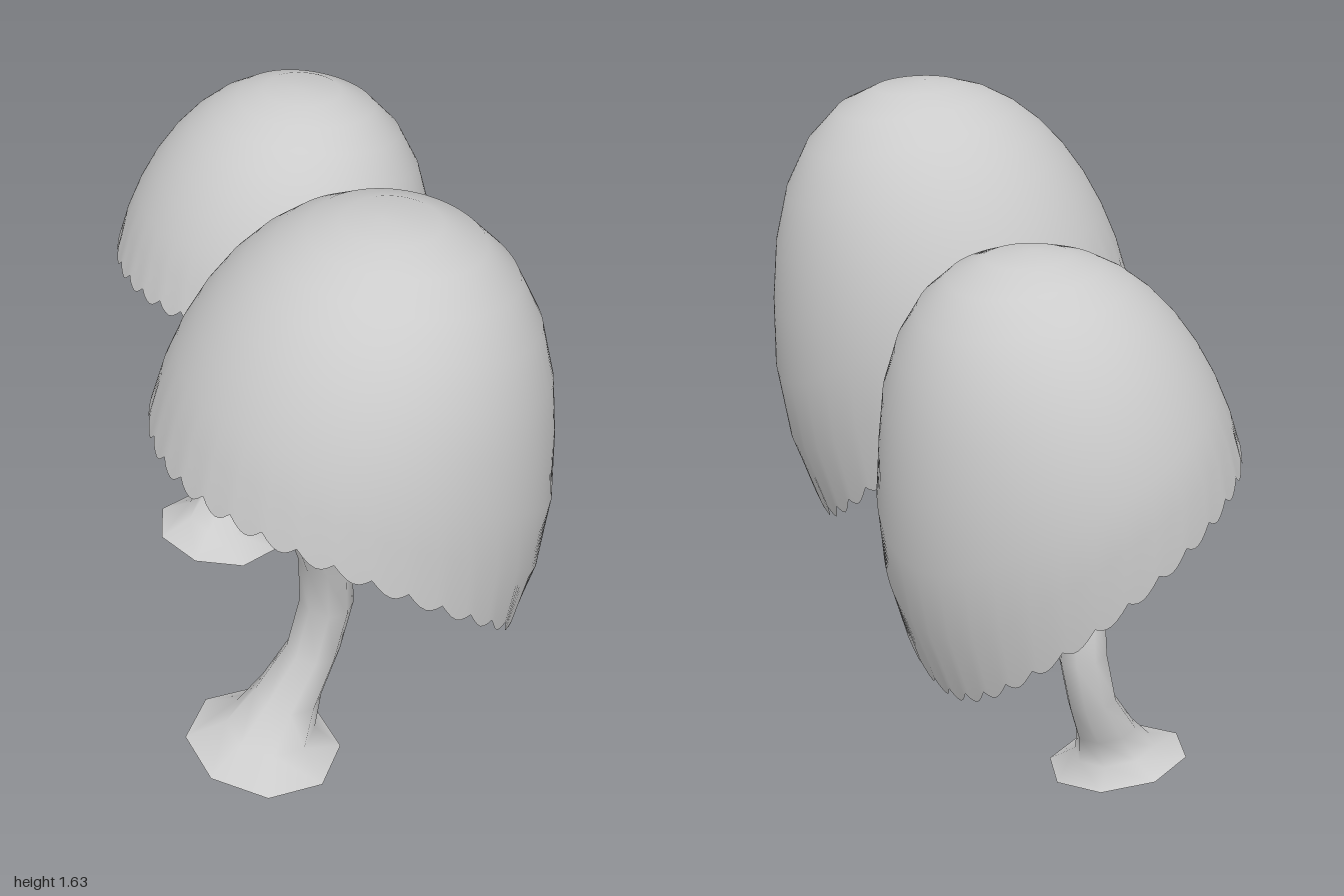
import * as THREE from 'three';
import { mergeVertices } from 'three/addons/utils/BufferGeometryUtils.js';

const material = new THREE.MeshStandardMaterial({ color: 0xcccccc, side: THREE.DoubleSide });

// Skin closed rings, listed from top to bottom; point(row, angle) returns [x, y, z]
function loft(rows, sides, point) {
  const positions = [], index = [];
  for (let j = 0; j < rows; j++) {
    for (let i = 0; i < sides; i++) positions.push(...point(j, (i / sides) * Math.PI * 2));
  }
  for (let j = 0; j < rows - 1; j++) {
    for (let i = 0; i < sides; i++) {
      const a = j * sides + i, b = j * sides + ((i + 1) % sides);
      index.push(a, b, a + sides, b, b + sides, a + sides);
    }
  }
  const geometry = new THREE.BufferGeometry();
  geometry.setAttribute('position', new THREE.Float32BufferAttribute(positions, 3));
  geometry.setIndex(index);
  const merged = mergeVertices(geometry, 1e-5);
  merged.computeVertexNormals();
  return merged;
}

// Open leafy dome: an egg whose scalloped rim hangs low on the +x side
function canopyGeometry() {
  const rows = 10, scallops = 36, middle = 0.95;
  return loft(rows, scallops * 6, (j, angle) => {
    const c = Math.cos(angle + 0.14);
    const scallop = j === rows - 1 ? 0.03 * Math.abs(Math.sin((angle * scallops) / 2)) : 0;
    const rim = 0.925 - 0.32 * c - 0.15 * c * c - scallop;
    const height = (up) => (up > 0 ? 0.685 : 0.85);
    const end = Math.acos((rim - middle) / height(rim - middle));
    const phi = (end * j) / (rows - 1);
    const h = Math.cos(phi);
    const y = middle + h * height(h);
    const r = Math.pow(Math.sin(phi), h > 0 ? 0.87 : 1.2);
    const lean = Math.max(0, y - 1.08);
    return [0.12 * lean + 0.5 * r * Math.cos(angle), y, 0.05 * lean + 0.522 * r * Math.sin(angle)];
  });
}

// Curved hollow trunk with a flared, slightly tilted foot: x, y, z, radius
function trunkGeometry() {
  const rings = [
    [-0.2, 1.3, 0.2, 0.035], [-0.17, 1.06, 0.15, 0.05],
    [-0.14, 0.88, 0.09, 0.06], [-0.095, 0.75, 0.035, 0.068], [-0.06, 0.6, -0.025, 0.07],
    [-0.055, 0.45, -0.05, 0.07], [-0.09, 0.3, -0.045, 0.07], [-0.16, 0.18, -0.01, 0.088],
    [-0.21, 0.095, 0.02, 0.118], [-0.23, 0.05, 0.035, 0.205],
  ];
  return loft(rings.length, 8, (j, angle) => {
    const [x, y, z, r] = rings[j];
    const dx = r * Math.cos(angle), dz = r * Math.sin(angle);
    return [x + dx, y - 0.15 * dx - 0.06 * dz, z + dz];
  });
}

// Branch paths from the trunk up into the dome
const branchPaths = [
  [[-0.06, 0.68, -0.01], [0.04, 0.75, -0.06], [0.12, 0.88, -0.12], [0.18, 1.04, -0.17]],
  [[-0.06, 0.66, -0.01], [0.01, 0.72, 0.07], [0.04, 0.83, 0.14], [0.05, 1.04, 0.2]],
  [[-0.1, 0.75, 0.02], [-0.17, 0.86, -0.09], [-0.21, 1.0, -0.17], [-0.23, 1.12, -0.22]],
];

function createTree(name) {
  const tree = new THREE.Group();
  tree.name = name;
  const add = (part, geometry) => {
    const mesh = new THREE.Mesh(geometry, material);
    mesh.name = part;
    tree.add(mesh);
  };
  add('canopy', canopyGeometry());
  add('trunk', trunkGeometry());
  for (const path of branchPaths) {
    const curve = new THREE.CatmullRomCurve3(path.map((p) => new THREE.Vector3(...p)));
    add('branch', new THREE.TubeGeometry(curve, 8, 0.024, 6));
  }
  return tree;
}

export function createModel() {
  const model = new THREE.Group();
  model.name = 'treePair';
  const front = createTree('largeTree');
  front.position.set(0.03, 0, 0.478);
  // The rear tree is the same, smaller and turned
  const rear = createTree('smallTree');
  rear.scale.setScalar(0.885);
  rear.rotation.y = 0.35;
  rear.position.set(-0.09, -0.014, -0.543);
  model.add(front, rear);
  return model;
}
